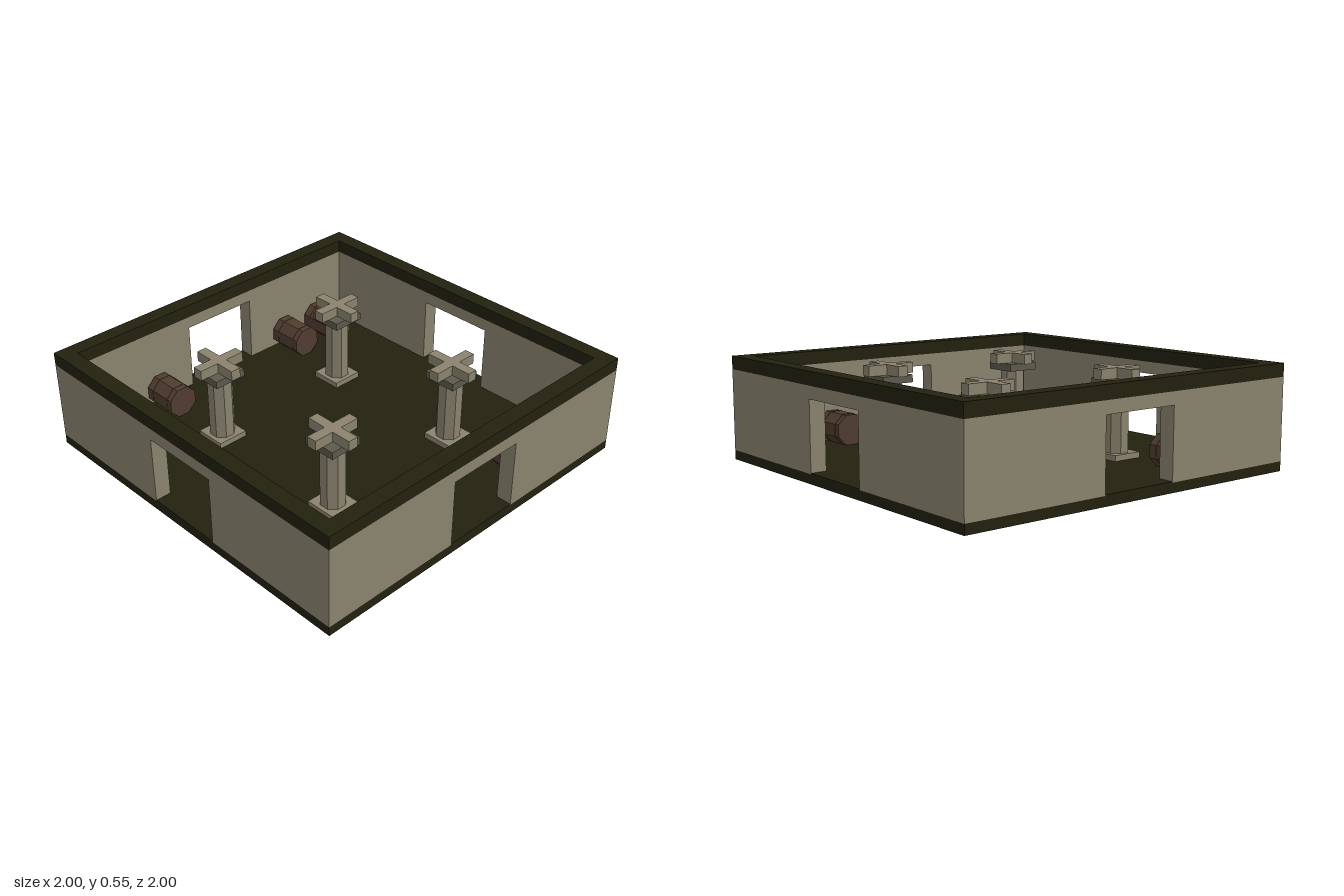
import * as THREE from 'three';

const material = (name, color) => {
  const m = new THREE.MeshStandardMaterial({ color, flatShading: true });
  m.name = name;
  return m;
};

export function createModel() {
  const stone = material('pale stone', 0x8b836f);
  const greyStone = material('grey stone', 0x5d5a4c);
  const dark = material('dark olive', 0x23210f);
  const wood = material('barrel wood', 0x503c2f);

  const model = new THREE.Group();
  model.name = 'pillaredRoom';

  const add = (parent, name, geometry, mat, x = 0, y = 0, z = 0) => {
    const mesh = new THREE.Mesh(geometry, mat);
    mesh.name = name;
    mesh.position.set(x, y, z);
    parent.add(mesh);
    return mesh;
  };
  const box = (parent, name, w, h, d, mat, x, y, z) =>
    add(parent, name, new THREE.BoxGeometry(w, h, d), mat, x, y, z);

  // Floor: outer plinth and slightly raised paving that runs into the doorways
  const T = 0.085, IN = 1 - T, FLOOR = 0.055;
  box(model, 'plinth', 2, 0.05, 2, dark, 0, 0.025, 0);
  box(model, 'paving', 2 * IN, 0.01, 2 * IN, dark, 0, 0.05, 0);

  // Walls with a doorway in the middle of each side, and the dark coping above
  const wallGeometry = (half) => {
    const s = new THREE.Shape();
    [[-half, 0.05], [-0.215, 0.05], [-0.215, 0.415], [0.215, 0.415],
      [0.215, 0.05], [half, 0.05], [half, 0.48], [-half, 0.48]]
      .forEach(([x, y], i) => (i ? s.lineTo(x, y) : s.moveTo(x, y)));
    s.closePath();
    return new THREE.ExtrudeGeometry(s, { depth: T, bevelEnabled: false }).translate(0, 0, IN);
  };
  ['front', 'left', 'back', 'right'].forEach((side, i) => {
    const half = i % 2 ? IN : 1;
    const group = new THREE.Group();
    group.name = side + 'Wall';
    group.rotation.y = i * Math.PI / 2;
    add(group, 'wall', wallGeometry(half), stone);
    box(group, 'coping', 2 * half, 0.07, T, dark, 0, 0.515, 1 - T / 2);
    box(group, 'sill', 0.43, 0.01, T, dark, 0, 0.05, 1 - T / 2);
    model.add(group);
  });

  // Octagonal prism with flat sides facing the axes
  const octagon = (apothem, height) =>
    new THREE.CylinderGeometry(apothem / Math.cos(Math.PI / 8), apothem / Math.cos(Math.PI / 8), height, 8)
      .rotateY(Math.PI / 8);

  // Four pillars, each carrying a cross of short beams
  for (const x of [-0.415, 0.415]) for (const z of [-0.415, 0.415]) {
    const pillar = new THREE.Group();
    pillar.name = 'pillar';
    pillar.position.set(x, 0, z);
    box(pillar, 'base', 0.17, 0.03, 0.17, stone, 0, FLOOR + 0.015, 0);
    add(pillar, 'shaft', octagon(0.062, 0.34), stone, 0, 0.255, 0);
    box(pillar, 'capital', 0.18, 0.04, 0.18, greyStone, 0, 0.445, 0);
    box(pillar, 'crossBeam', 0.27, 0.055, 0.055, stone, 0, 0.4925, 0);
    for (const s of [-1, 1]) {
      box(pillar, 'crossArm', 0.055, 0.055, 0.1075, stone, 0, 0.4925, s * 0.08125);
    }
    model.add(pillar);
  }

  // Barrels lying along x beside the left and right walls
  for (const x of [-0.808, 0.808]) for (const z of [-0.705, -0.46, 0.44, 0.69]) {
    const barrel = new THREE.Group();
    barrel.name = 'barrel';
    barrel.position.set(x, FLOOR + 0.083, z);
    add(barrel, 'staves', octagon(0.081, 0.198).rotateZ(Math.PI / 2), wood);
    for (const s of [-1, 1]) {
      add(barrel, 'hoop', octagon(0.083, 0.012).rotateZ(Math.PI / 2), wood, s * 0.06, 0, 0);
    }
    model.add(barrel);
  }

  return model;
}
